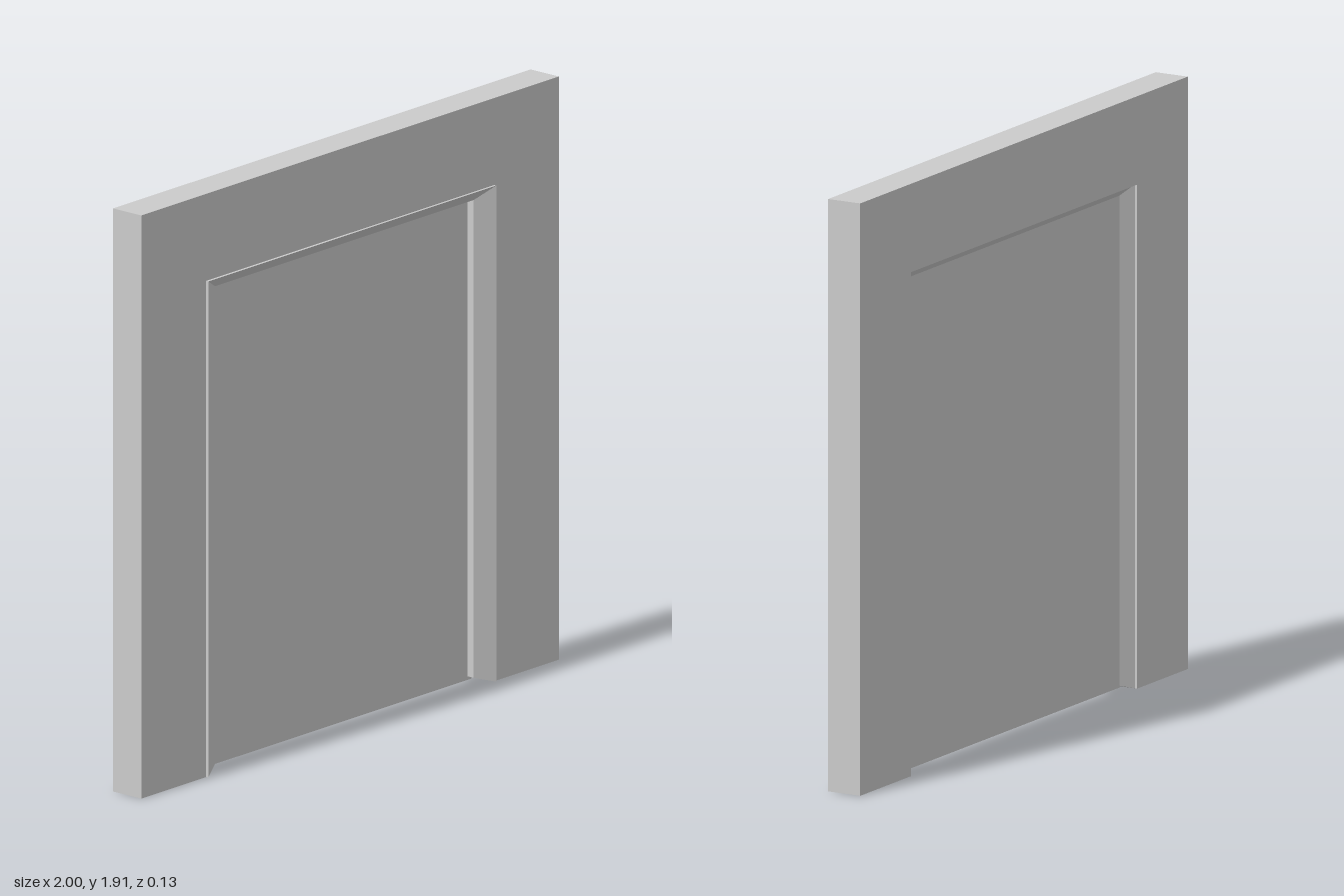
import * as THREE from 'three';

const material = new THREE.MeshStandardMaterial({ color: 0xcccccc, flatShading: true });

function part(name, geometry) {
  const mesh = new THREE.Mesh(geometry, material);
  mesh.name = name;
  return mesh;
}

// Wall slab with a doorway cut up from its lower edge
function wallGeometry() {
  const outline = [[-1, 0], [-0.69, 0], [-0.69, 1.625], [0.69, 1.625], [0.69, 0], [1, 0], [1, 1.91], [-1, 1.91]];
  const shape = new THREE.Shape(outline.map(([x, y]) => new THREE.Vector2(x, y)));
  const geometry = new THREE.ExtrudeGeometry(shape, { depth: 0.117, bevelEnabled: false });
  return geometry.translate(0, 0, -0.063);
}

// Casing: a bevelled section carried up one jamb, across the head and down the other
function casingGeometry() {
  // outer x, outer y, inner x, inner y at each station
  const stations = [
    [-0.69, 0, -0.62, 0.022],
    [-0.69, 1.625, -0.62, 1.587],
    [0.69, 1.625, 0.62, 1.587],
    [0.69, 0, 0.62, 0.022],
  ];
  const rings = stations.map(([ox, oy, ix, iy]) => [
    [ox, oy, 0.063], [ix, iy, 0.03], [ix, iy, -0.022], [ox, oy, -0.055],
  ]);
  const positions = [];
  const quad = (a, b, c, d) => positions.push(...a, ...b, ...c, ...a, ...c, ...d);
  for (let i = 0; i < 3; i++) {
    for (let k = 0; k < 4; k++) {
      const n = (k + 1) % 4;
      quad(rings[i][k], rings[i][n], rings[i + 1][n], rings[i + 1][k]);
    }
  }
  // Feet of the two jambs
  quad(...[...rings[0]].reverse());
  quad(...rings[3]);
  const geometry = new THREE.BufferGeometry();
  geometry.setAttribute('position', new THREE.Float32BufferAttribute(positions, 3));
  geometry.computeVertexNormals();
  return geometry;
}

export function createModel() {
  const group = new THREE.Group();
  group.name = 'doorwayWall';
  group.add(part('wall', wallGeometry()));
  group.add(part('doorCasing', casingGeometry()));

  // Door leaf, tucked into the casing and just clear of the floor
  const door = part('doorPanel', new THREE.BoxGeometry(1.28, 1.59, 0.034));
  door.position.set(0, 0.01 + 1.59 / 2, -0.013);
  group.add(door);
  return group;
}
